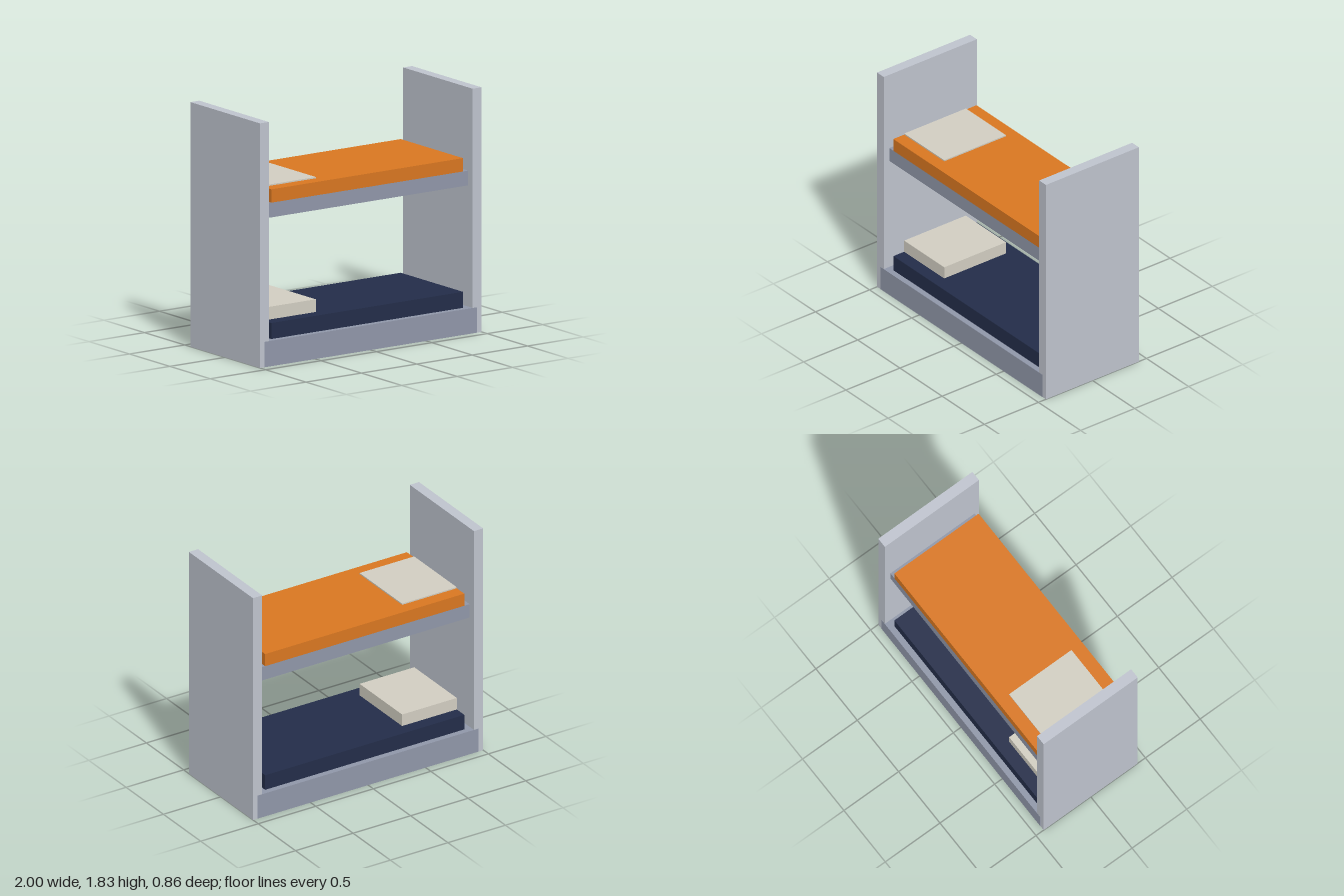
import * as THREE from 'three';

const COLORS = {
  panel: 0xbfc4ce,
  frame: 0x9097a9,
  orange: 0xd97721,
  navy: 0x232d49,
  pillow: 0xd2cec2,
};

export function createModel() {
  const model = new THREE.Group();
  model.name = 'bunkBed';
  const materials = {};
  for (const [key, color] of Object.entries(COLORS)) {
    materials[key] = new THREE.MeshStandardMaterial({ color });
  }

  // Box given by its x and y ranges and its half depth
  function slab(name, material, x0, x1, y0, y1, halfZ) {
    const mesh = new THREE.Mesh(new THREE.BoxGeometry(x1 - x0, y1 - y0, halfZ * 2), materials[material]);
    mesh.name = name;
    mesh.position.set((x0 + x1) / 2, (y0 + y1) / 2, 0);
    model.add(mesh);
  }

  // End panels
  slab('rightEndPanel', 'panel', -1, -0.92, 0, 1.83, 0.43);
  slab('leftEndPanel', 'panel', 0.92, 1, 0, 1.83, 0.43);

  // Lower bunk: base reaches into the end panels
  slab('lowerBase', 'frame', -0.96, 0.96, 0, 0.19, 0.431);
  slab('lowerMattress', 'navy', -0.865, 0.865, 0.19, 0.31, 0.385);
  slab('lowerPillow', 'pillow', -0.865, -0.39, 0.31, 0.405, 0.285);

  // Upper bunk: pillow sinks into the mattress
  slab('upperBase', 'frame', -0.912, 0.912, 1.1, 1.21, 0.385);
  slab('upperMattress', 'orange', -0.865, 0.865, 1.21, 1.31, 0.385);
  slab('upperPillow', 'pillow', -0.864, -0.39, 1.225, 1.32, 0.285);

  return model;
}
